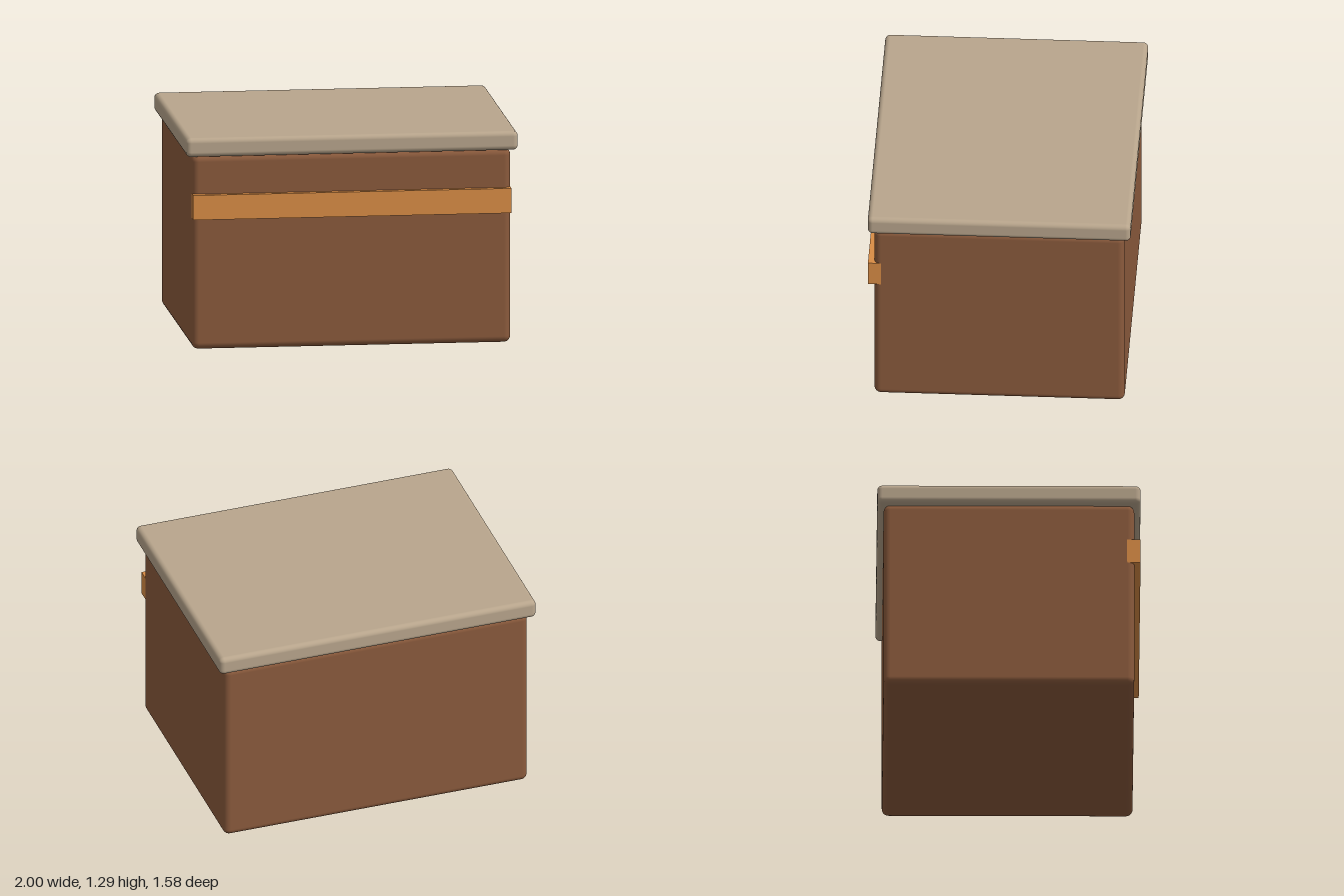
import * as THREE from 'three';
import { RoundedBoxGeometry } from 'three/addons/geometries/RoundedBoxGeometry.js';

function addPart(group, name, geometry, color, y, z = 0) {
  const mesh = new THREE.Mesh(geometry, new THREE.MeshStandardMaterial({ color }));
  mesh.name = name;
  mesh.position.set(0, y, z);
  group.add(mesh);
}

export function createModel() {
  const group = new THREE.Group();
  group.name = 'box';

  // Main body with softly rounded edges
  addPart(group, 'body', new RoundedBoxGeometry(1.92, 1.18, 1.5, 4, 0.04), 0x8a5a3c, 0.59);

  // Overhanging lid
  addPart(group, 'lid', new RoundedBoxGeometry(2, 0.115, 1.575, 4, 0.03), 0xb8a58c, 1.2325);

  // Sharp-edged band across the front only, slightly sunk into the body
  addPart(group, 'frontBand', new THREE.BoxGeometry(1.92, 0.15, 0.08), 0xd98c45, 0.87, 0.7475);

  return group;
}
